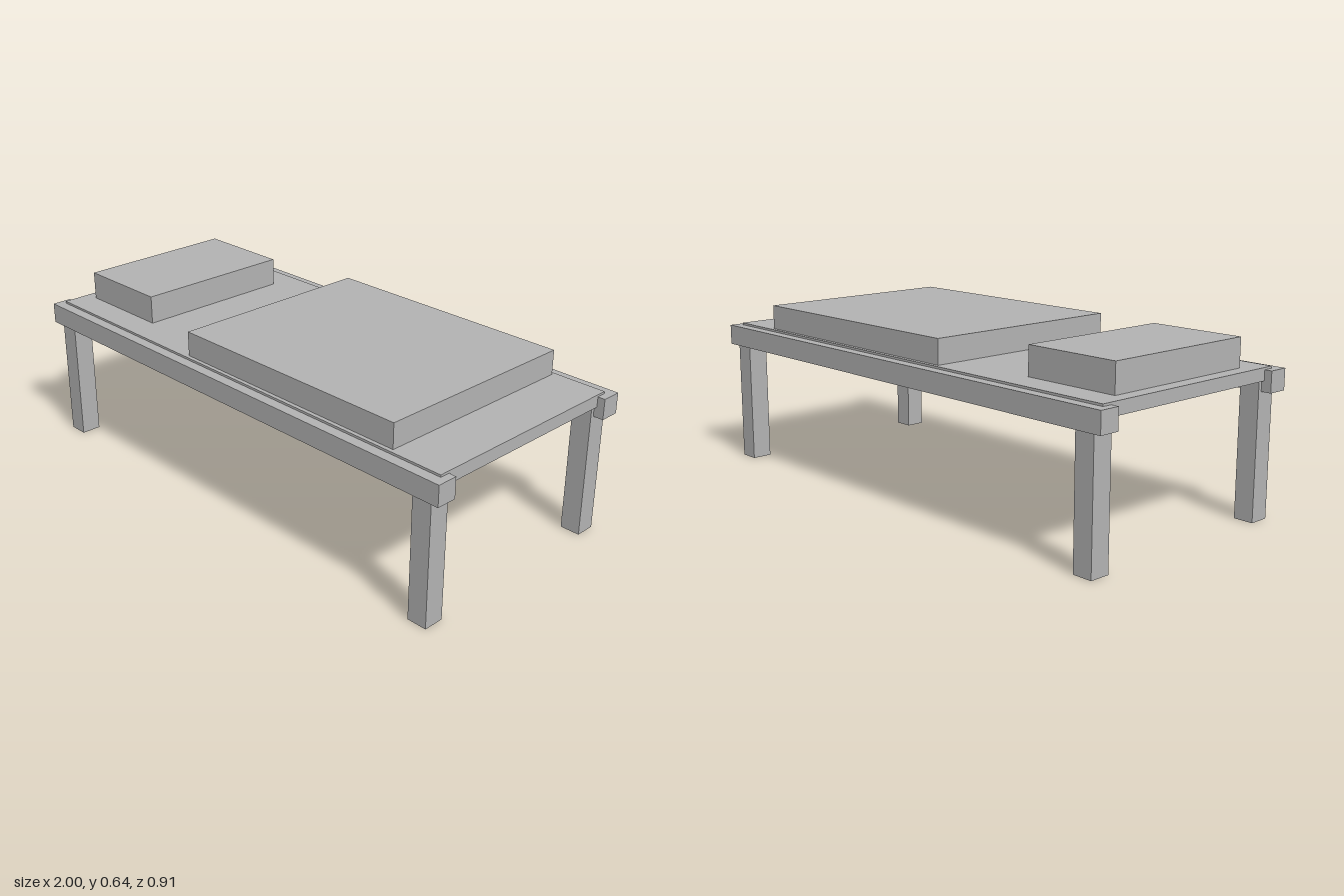
import * as THREE from 'three';

export function createModel() {
  const group = new THREE.Group();
  group.name = 'bed';
  const grey = new THREE.MeshStandardMaterial({ color: 0xb2b2b2 });
  grey.name = 'plain grey';

  // Box given by its extents along each axis
  function box(name, [x0, x1], [y0, y1], [z0, z1]) {
    const mesh = new THREE.Mesh(new THREE.BoxGeometry(x1 - x0, y1 - y0, z1 - z0), grey);
    mesh.position.set((x0 + x1) / 2, (y0 + y1) / 2, (z0 + z1) / 2);
    mesh.name = name;
    group.add(mesh);
  }

  // Sleeping surface with bedding on top
  box('bedSurface', [-0.972, 0.972], [0.494, 0.54], [-0.414, 0.414]);
  box('pillow', [-0.922, -0.553], [0.54, 0.645], [-0.307, 0.307]);
  box('blanket', [-0.219, 0.768], [0.54, 0.631], [-0.399, 0.399]);

  // Long side rails, each with two legs
  for (const [side, s] of [['front', 1], ['back', -1]]) {
    const span = (a, b) => (s > 0 ? [a, b] : [-b, -a]);
    box(side + 'Rail', [-1, 1], [0.456, 0.532], span(0.377, 0.453));
    box(side + 'RightLeg', [-0.962, -0.887], [0, 0.494], span(0.363, 0.439));
    box(side + 'LeftLeg', [0.887, 0.962], [0, 0.494], span(0.363, 0.439));
  }
  return group;
}
